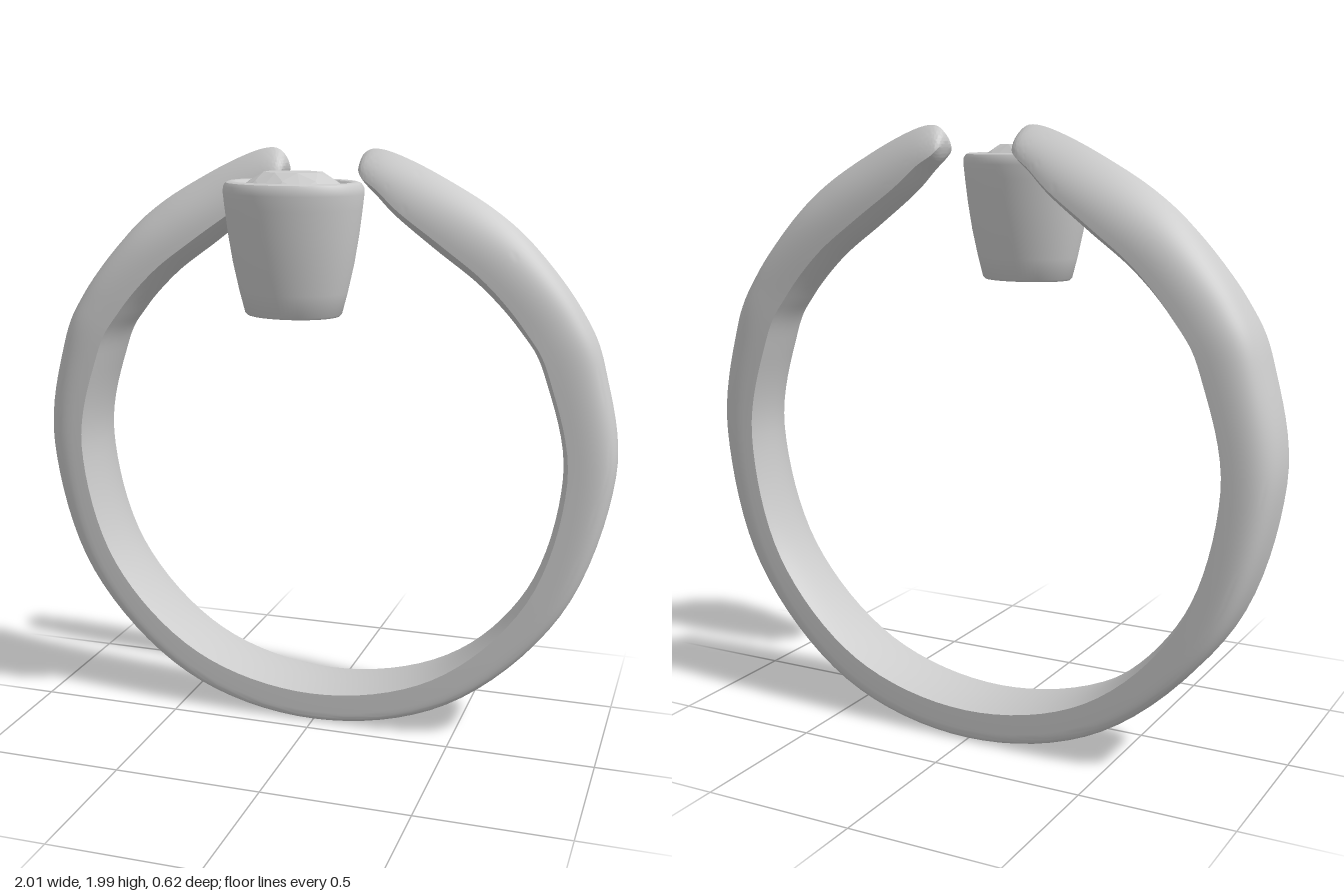
import * as THREE from 'three';
import { toCreasedNormals } from 'three/addons/utils/BufferGeometryUtils.js';
import { ConvexGeometry } from 'three/addons/geometries/ConvexGeometry.js';

const metal = new THREE.MeshStandardMaterial({ color: 0xcccccc });
const facet = new THREE.MeshStandardMaterial({ color: 0xcccccc, flatShading: true });
const BAND_Z = -0.18;

// One row per station, from the bottom of the band up to the tip:
// outer x, y, inner edge x, y, half width right, half width left, inner bulge, squareness, ridge
const stations = [
  [0, 0.01, 0, 0.115, 0.125, 0.125, 0.01, 10, 0],
  [0.48, 0.125, 0.43, 0.22, 0.12, 0.128, 0.012, 8, 0],
  [0.85, 0.48, 0.742, 0.53, 0.108, 0.132, 0.02, 5, 0],
  [1, 0.95, 0.857, 0.95, 0.095, 0.135, 0.025, 3.2, 0],
  [0.95, 1.31, 0.785, 1.29, 0.09, 0.133, 0.028, 3, 0],
  [0.87, 1.5, 0.7, 1.44, 0.086, 0.128, 0.03, 3, 0.2],
  [0.72, 1.69, 0.57, 1.585, 0.086, 0.12, 0.035, 3, 0.45],
  [0.58, 1.81, 0.42, 1.7, 0.085, 0.11, 0.038, 3, 0.7],
  [0.4, 1.915, 0.28, 1.8, 0.08, 0.095, 0.03, 3, 0.9],
  [0.26, 1.98, 0.2, 1.87, 0.07, 0.08, 0.025, 3, 1],
  [0.18, 2, 0.15, 1.905, 0.058, 0.068, 0.015, 3, 1],
  [0.14, 1.985, 0.13, 1.93, 0.04, 0.045, 0.005, 3, 1],
  [0.125, 1.955, 0.125, 1.955, 0, 0, 0, 3, 1],
];

// Open band: left tip, round the bottom, to the right tip
function bandGeometry() {
  const side = (row, s) => ({
    outer: new THREE.Vector3(s * row[0], row[1], 0),
    inner: new THREE.Vector3(s * row[2], row[3], 0),
    size: new THREE.Vector3(s > 0 ? row[4] : row[5], row[6], 0),
    form: new THREE.Vector3(row[7], row[8], 0),
  });
  const rows = [
    ...stations.slice(1).reverse().map((r) => side(r, -1)),
    ...stations.map((r) => side(r, 1)),
  ];
  const curve = (key) => new THREE.CatmullRomCurve3(rows.map((r) => r[key]), false, 'catmullrom', 0.5);
  const [outer, inner, size, form] = ['outer', 'inner', 'size', 'form'].map(curve);

  const STEPS = 192, TOP = 28, UNDER = 10, RING = TOP + UNDER;
  const pos = [], index = [];
  for (let i = 0; i <= STEPS; i++) {
    const t = i / STEPS;
    const e = inner.getPoint(t), d = outer.getPoint(t).sub(e);
    const { x: hw, y: bulge } = size.getPoint(t);
    const { x: n, y: ridge } = form.getPoint(t);
    const unit = d.clone().normalize();
    for (let j = 0; j < RING; j++) {
      const p = e.clone();
      if (j < TOP) {
        // outer side: rounded box blending into a pointed arch
        const s = 1 - (2 * j) / TOP, w = 1 - Math.abs(s), a = (w * Math.PI) / 2;
        const across = THREE.MathUtils.lerp(Math.cos(a) ** (2 / n), 1 - w * w, ridge);
        const up = THREE.MathUtils.lerp(Math.sin(a) ** (2 / n), w, ridge);
        p.addScaledVector(d, up).setZ(BAND_Z + Math.sign(s) * hw * across);
      } else {
        // finger side: gently convex
        const s = -1 + (2 * (j - TOP)) / UNDER;
        p.addScaledVector(unit, -bulge * (1 - s * s)).setZ(BAND_Z + s * hw);
      }
      pos.push(p.x, p.y, p.z);
      if (i < STEPS) {
        const a = i * RING + j, b = i * RING + ((j + 1) % RING);
        index.push(a, b, b + RING, a, b + RING, a + RING);
      }
    }
  }
  const g = new THREE.BufferGeometry();
  g.setAttribute('position', new THREE.Float32BufferAttribute(pos, 3));
  g.setIndex(index);
  return toCreasedNormals(g, 0.55);
}

// Hollow tapered cup, turned and then squashed to an oval
function cupGeometry() {
  const profile = [
    [0.118, 1.495], [0.15, 1.495], [0.157, 1.502], [0.175, 1.57], [0.195, 1.66],
    [0.21, 1.75], [0.22, 1.83], [0.225, 1.875], [0.224, 1.895], [0.216, 1.907],
    [0.203, 1.912], [0.185, 1.91], [0.175, 1.902], [0.169, 1.885], [0.165, 1.83],
    [0.15, 1.7], [0.13, 1.58], [0.118, 1.495],
  ].map(([x, y]) => new THREE.Vector2(x, y));
  return toCreasedNormals(new THREE.LatheGeometry(profile, 72).scale(1, 1, 0.755), 0.6);
}

// Oval brilliant: table, crown, girdle and pavilion point
function gemGeometry() {
  const pts = [new THREE.Vector3(0, 1.74, 0)];
  const ring = (count, r, y, turn) => {
    for (let i = 0; i < count; i++) {
      const a = ((i + turn) / count) * Math.PI * 2;
      pts.push(new THREE.Vector3(r * Math.cos(a), y, r * Math.sin(a) * 0.77));
    }
  };
  ring(8, 0.095, 1.94, 0.5);
  ring(8, 0.137, 1.917, 0);
  ring(16, 0.168, 1.893, 0);
  ring(16, 0.168, 1.885, 0);
  return new ConvexGeometry(pts);
}

export function createModel() {
  const group = new THREE.Group();
  group.name = 'openRing';
  const add = (name, geometry, material, parent = group) => {
    const mesh = new THREE.Mesh(geometry, material);
    mesh.name = name;
    parent.add(mesh);
  };
  add('band', bandGeometry(), metal);

  const setting = new THREE.Group();
  setting.name = 'stoneSetting';
  setting.position.z = 0.14;
  add('bezelCup', cupGeometry(), metal, setting);
  add('gem', gemGeometry(), facet, setting);
  group.add(setting);
  return group;
}
